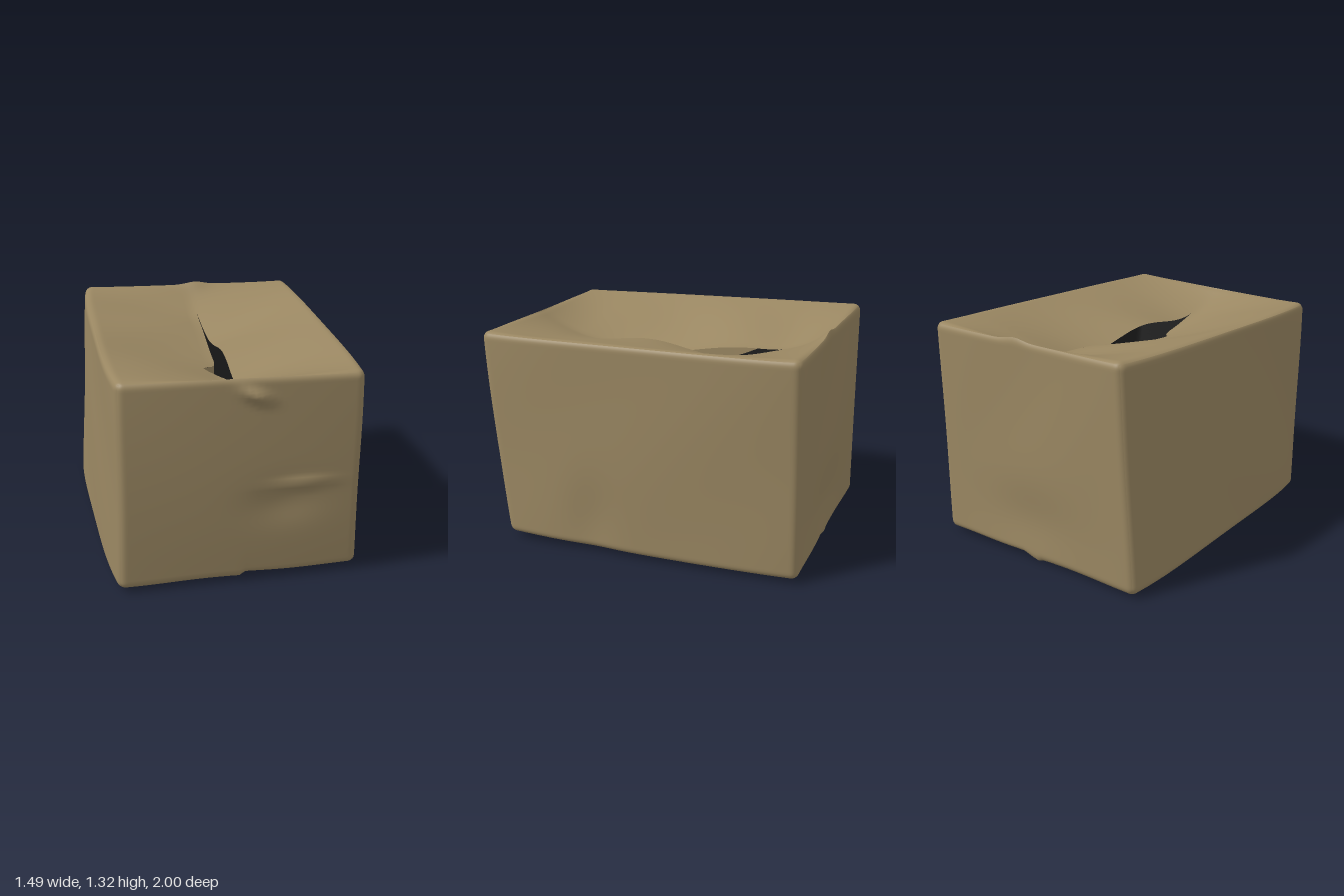
import * as THREE from 'three';
import { mergeGeometries, mergeVertices } from 'three/addons/utils/BufferGeometryUtils.js';

const NX = 64, NY = 60, NZ = 72;            // grid steps per panel direction
const HALF = [0.71, 0.64, 0.96], R = 0.045; // half sizes and edge rounding

// Battered corner positions, indexed by the signs of x, y, z (0 = minus, 1 = plus)
const CORNERS = {
  '000': [-0.705, 0.02, -0.995], '100': [0.71, 0.02, -0.96],
  '001': [-0.695, 0.025, 0.85], '101': [0.7, 0.03, 0.85],
  '010': [-0.63, 1.325, -1.005], '110': [0.75, 1.315, -0.945],
  '011': [-0.685, 1.265, 0.9], '111': [0.64, 1.275, 1.0],
};

const bump = (a, b, ca, cb, wa, wb) => Math.exp(-(((a - ca) / wa) ** 2) - ((b - cb) / wb) ** 2);
const ease = (t) => Math.sin((t * Math.PI) / 2);   // packs grid lines near the edges
const gap = (z) => Math.max(0, 1 - ((z * HALF[2]) / 0.66) ** 2);

// Round a point of the unit cube, stretch it to the corners, then sag and dent it
function warp(x, y, z, side = 0) {
  const p = [x, y, z].map((c, i) => c * HALF[i]);
  const inner = p.map((c, i) => THREE.MathUtils.clamp(c, R - HALF[i], HALF[i] - R));
  const d = p.map((c, i) => c - inner[i]);
  const len = Math.hypot(...d) || 1;
  const q = inner.map((c, i) => (c + (d[i] / len) * R) / HALF[i]);

  const out = new THREE.Vector3();
  for (const key in CORNERS) {
    let w = 1;
    for (let i = 0; i < 3; i++) w *= (key[i] === '1' ? 1 + q[i] : 1 - q[i]) / 2;
    out.addScaledVector(new THREE.Vector3(...CORNERS[key]), w);
  }

  const fx = 1 - x * x, fy = 1 - y * y, fz = 1 - z ** 4;
  const front = Math.max(0, z) ** 8, back = Math.max(0, -z) ** 8;
  const top = Math.max(0, y) ** 8, bottom = Math.max(0, -y) ** 8;
  const X = out.x, Y = out.y, Z = out.z;

  // bowed walls and soft wrinkles
  out.x += x * Math.abs(x) ** 3 * fz * (x > 0 ? 0.022 : 0.036);
  out.x += x * 0.005 * fy * Math.sin(4 * Z + 3 * Y);
  out.z += front * 0.012 * fy + (front - back) * 0.005 * fx * Math.sin(5 * X + 4 * Y);

  // sagging lid halves, hanging at different heights along the tear
  const split = side * 0.05 * gap(z) * Math.sin(4 * z + 0.4);
  out.y -= top * (1 - Math.abs(x)) * (0.19 * fz - split);
  out.y += top * fx * fz * 0.005 * Math.sin(9 * Z + 6 * X);
  out.y += top * 0.02 * bump(X, Z, 0.12, -0.97, 0.08, 0.06);

  // crease and slanted nub on the front
  out.z += front * (0.03 * bump(X, Y, 0.33, 0.615, 0.16, 0.025) - 0.02 * bump(X, Y, 0.25, 0.5, 0.2, 0.12));
  const along = (X - 0.04) * 0.88 - (Y - 1.17) * 0.47, across = (X - 0.04) * 0.47 + (Y - 1.17) * 0.88;
  out.z += front * 0.05 * bump(along, across, 0.02, 0, 0.08, 0.03);

  // dents low on the left and back walls
  out.x -= Math.max(0, x) ** 8 * 0.02 * bump(Z, Y, 0.28, 0.2, 0.15, 0.25);
  out.z += back * 0.025 * bump(X, Y, 0.05, 0.25, 0.3, 0.2);

  // base halves meet in a small step with a ragged scrap at the back
  out.y += bottom * (X > 0.015 ? 0.015 : -0.01) * (1 - Math.abs(x));
  out.y += bottom * 0.004 * Math.sin(7 * X + 3 * Z);
  out.y -= bottom * 0.03 * bump(X, Z, 0.04, -0.99, 0.04, 0.08);
  return out;
}

// Grid of quads over u, v in [-1, 1]
function panel(nu, nv, place) {
  const pos = [], index = [];
  for (let j = 0; j <= nv; j++) {
    for (let i = 0; i <= nu; i++) {
      pos.push(...place((2 * i) / nu - 1, (2 * j) / nv - 1).toArray());
      if (i < nu && j < nv) {
        const a = j * (nu + 1) + i, b = a + 1, c = a + nu + 1, e = c + 1;
        index.push(a, b, e, a, e, c);
      }
    }
  }
  const g = new THREE.BufferGeometry();
  g.setAttribute('position', new THREE.Float32BufferAttribute(pos, 3));
  g.setIndex(index);
  return g;
}

// Inner edge of each lid half: seam, open tear, and a notch in the right half
function lidEdge(z, side) {
  const seam = 0.028 * (1 - z ** 12);
  const notch = side < 0 ? 0.1 * Math.exp(-(((z * HALF[2] - 0.25) / 0.075) ** 2)) : 0;
  return (seam + side * 0.021 * gap(z) - notch) / HALF[0];
}

function lidHalf(side) {
  return panel(NX / 2, NZ, (u, v) => {
    const z = -ease(v), x = ease((u + side) / 2);
    return warp(x + lidEdge(z, side) * (1 - Math.abs(x)), 1, z, side);
  });
}

export function createModel() {
  const cardboard = new THREE.MeshStandardMaterial({ color: 0x9a8762 });
  cardboard.name = 'cardboard';
  const darkInside = new THREE.MeshStandardMaterial({ color: 0x1f1f1f, side: THREE.BackSide });
  darkInside.name = 'darkInside';
  const tornCard = new THREE.MeshStandardMaterial({ color: 0x9a8762, side: THREE.DoubleSide });
  tornCard.name = 'tornCard';

  const parts = {
    frontWall: panel(NX, NY, (u, v) => warp(ease(u), ease(v), 1)),
    backWall: panel(NX, NY, (u, v) => warp(-ease(u), ease(v), -1)),
    leftWall: panel(NZ, NY, (u, v) => warp(1, ease(v), -ease(u))),
    rightWall: panel(NZ, NY, (u, v) => warp(-1, ease(v), ease(u))),
    base: panel(NX, NZ, (u, v) => warp(ease(u), -1, ease(v))),
    leftLidHalf: lidHalf(1),
    rightLidHalf: lidHalf(-1),
  };

  // Weld all panels so that shading runs smoothly over the edges
  const shell = mergeVertices(mergeGeometries(Object.values(parts)), 1e-5);
  shell.computeVertexNormals();

  const model = new THREE.Group();
  model.name = 'cardboardBox';
  const add = (name, geometry, material) => {
    const mesh = new THREE.Mesh(geometry, material);
    mesh.name = name;
    model.add(mesh);
  };

  // Each panel draws its own slice of the welded shell
  let start = 0;
  for (const name in parts) {
    const count = parts[name].index.count;
    const g = new THREE.BufferGeometry();
    g.setAttribute('position', shell.getAttribute('position'));
    g.setAttribute('normal', shell.getAttribute('normal'));
    g.setIndex(Array.from(shell.index.array.slice(start, start + count)));
    add(name, g, cardboard);
    start += count;
  }
  add('inside', shell, darkInside);

  // Torn strip hanging down from the edge of the right lid half
  const strip = panel(24, 2, (u, v) => {
    const z = -0.08 + 0.45 * u;
    const p = warp(lidEdge(z, -1), 1, z, -1);
    p.y -= (1 - v) * 0.05 * (1 - u * u);
    return p;
  });
  strip.computeVertexNormals();
  add('tornStrip', strip, tornCard);

  return model;
}
